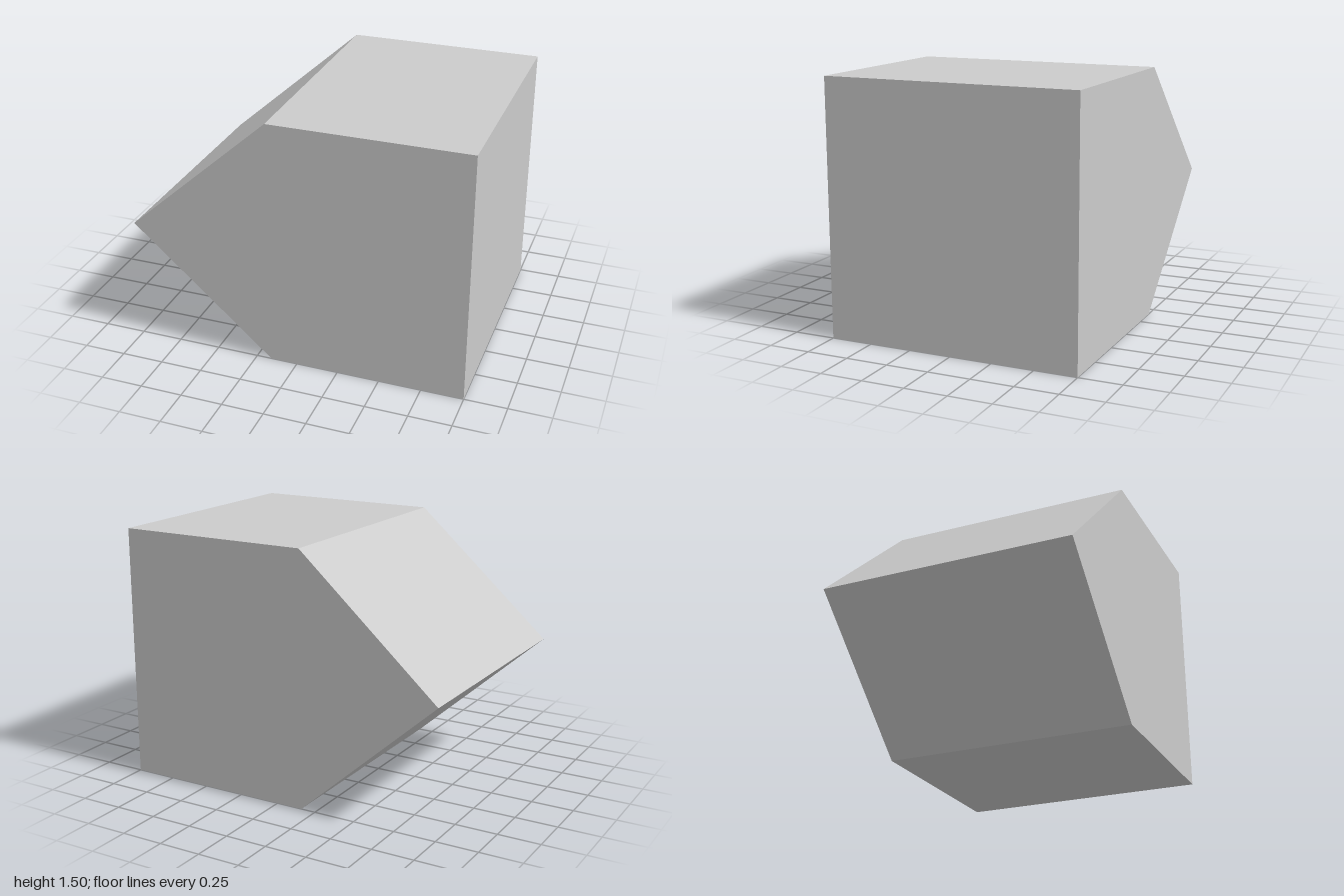
import * as THREE from 'three';

const HEIGHT = 1.5;
const DEPTH = 1.5;
const SHOULDER_X = -0.16; // where the straight block turns into the wedge

export function createModel() {
  const group = new THREE.Group();
  group.name = 'pointedBlock';

  // Five-sided outline: a block ending in a symmetric wedge towards -x
  const outline = new THREE.Shape([
    new THREE.Vector2(SHOULDER_X, 0),
    new THREE.Vector2(1, 0),
    new THREE.Vector2(1, HEIGHT),
    new THREE.Vector2(SHOULDER_X, HEIGHT),
    new THREE.Vector2(-1, HEIGHT / 2),
  ]);

  // Extruded prism, centred on z
  const geometry = new THREE.ExtrudeGeometry(outline, { depth: DEPTH, bevelEnabled: false });
  geometry.translate(0, 0, -DEPTH / 2);

  const material = new THREE.MeshStandardMaterial({ color: 0xcccccc, flatShading: true });
  const body = new THREE.Mesh(geometry, material);
  body.name = 'body';
  group.add(body);

  return group;
}
